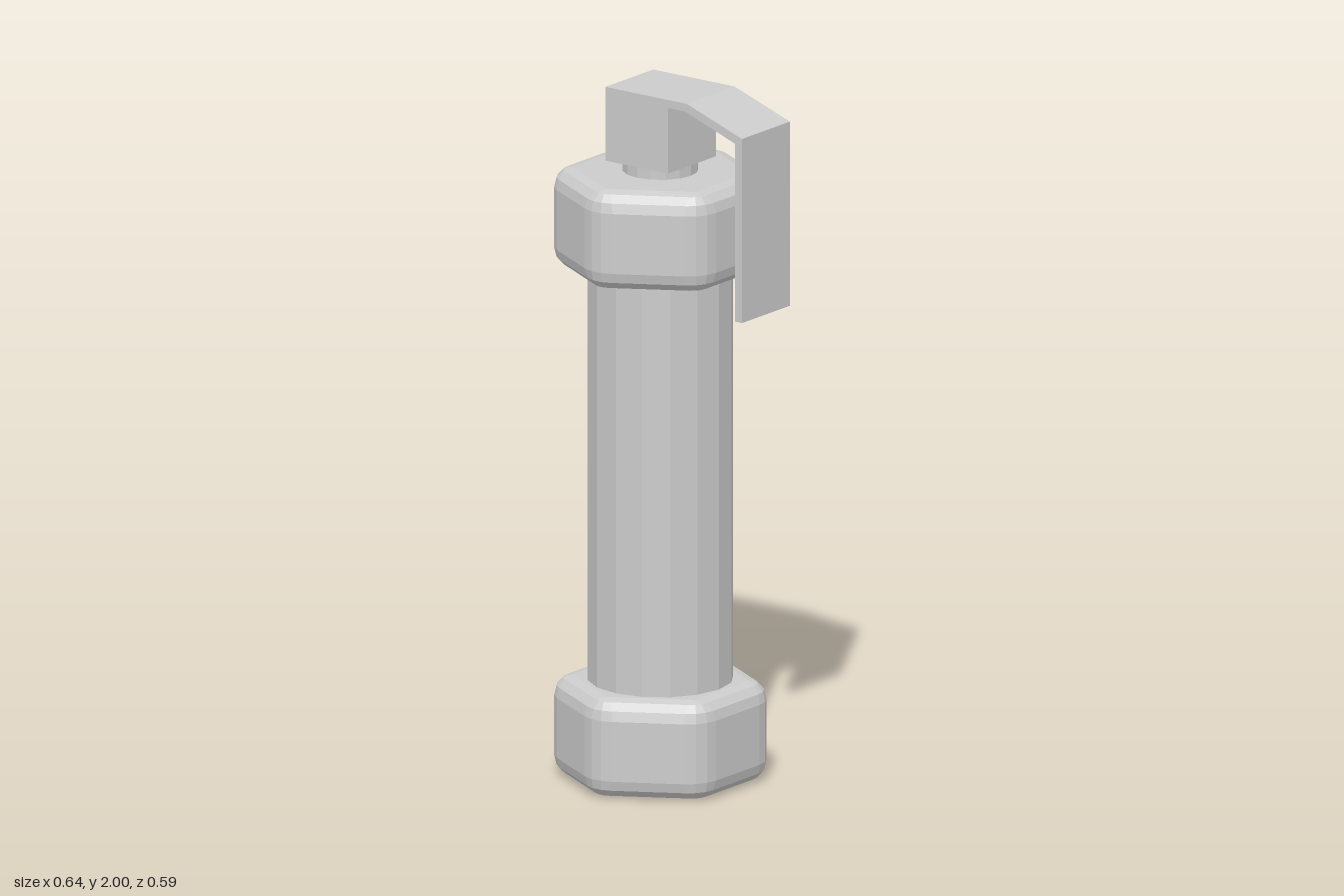
import * as THREE from 'three';

const material = new THREE.MeshStandardMaterial({ color: 0xcccccc, flatShading: true });
const AXIS_X = -0.05; // the body axis sits left of centre; the lever overhangs on the other side

// Hexagon outline (flats facing +x and -x) with rounded corners
function hexRing(apothem, cornerRadius) {
  const points = [];
  const centreDist = (apothem - cornerRadius) / Math.cos(Math.PI / 6);
  for (let k = 0; k < 6; k++) {
    const a = Math.PI / 6 + (k * Math.PI) / 3;
    for (let s = 0; s <= 3; s++) {
      const b = a + (s / 3 - 0.5) * (Math.PI / 3);
      points.push([
        centreDist * Math.cos(a) + cornerRadius * Math.cos(b),
        centreDist * Math.sin(a) + cornerRadius * Math.sin(b),
      ]);
    }
  }
  return points;
}

// Hexagonal cap with every edge rounded, built from stacked rings
function hexCapGeometry(height) {
  const apothem = 0.27, bevel = 0.056, corner = 0.097;
  const rings = [];
  for (const top of [false, true]) {
    for (let s = 0; s <= 3; s++) {
      const t = ((top ? s : 3 - s) / 3) * (Math.PI / 2);
      const rise = bevel * (1 - Math.sin(t));
      rings.push({
        y: top ? height - rise : rise,
        points: hexRing(apothem - bevel * (1 - Math.cos(t)), Math.max(0.003, corner * Math.cos(t))),
      });
    }
  }
  const n = rings[0].points.length;
  const positions = [], index = [];
  for (const { y, points } of rings) for (const [x, z] of points) positions.push(x, y, z);
  for (let r = 0; r < rings.length - 1; r++) {
    for (let i = 0; i < n; i++) {
      const a = r * n + i, b = r * n + ((i + 1) % n);
      index.push(a, a + n, b, b, a + n, b + n);
    }
  }
  // Flat end faces
  const bottom = positions.length / 3, top = bottom + 1, last = (rings.length - 1) * n;
  positions.push(0, 0, 0, 0, height, 0);
  for (let i = 0; i < n; i++) {
    const j = (i + 1) % n;
    index.push(bottom, i, j, top, last + j, last + i);
  }
  const geometry = new THREE.BufferGeometry();
  geometry.setAttribute('position', new THREE.Float32BufferAttribute(positions, 3));
  geometry.setIndex(index);
  geometry.computeVertexNormals();
  return geometry;
}

export function createModel() {
  const group = new THREE.Group();
  const add = (name, geometry, x, y, z = 0) => {
    const mesh = new THREE.Mesh(geometry, material);
    mesh.name = name;
    mesh.position.set(x, y, z);
    group.add(mesh);
  };
  const cylinder = (name, radius, y0, y1) =>
    add(name, new THREE.CylinderGeometry(radius, radius, y1 - y0, 16), AXIS_X, (y0 + y1) / 2);

  // Hexagonal end caps joined by the tube
  add('bottomCap', hexCapGeometry(0.285), AXIS_X, 0.003);
  add('topCap', hexCapGeometry(0.285), AXIS_X, 1.47);
  cylinder('tube', 0.204, 0.2, 1.56);
  cylinder('neck', 0.106, 1.7, 1.82);

  // Head block and bent lever share one side profile
  const profile = [
    [-0.158, 1.787], [0.06, 1.787], [0.06, 1.977], [0.12, 1.977], [0.293, 1.914],
    [0.293, 1.4], [0.318, 1.4], [0.318, 1.932], [0.125, 2], [-0.158, 2],
  ].map(([x, y]) => new THREE.Vector2(x, y));
  const width = 0.22;
  add('headAndLever',
    new THREE.ExtrudeGeometry(new THREE.Shape(profile), { depth: width, bevelEnabled: false }),
    0, 0, -width / 2);

  return group;
}
